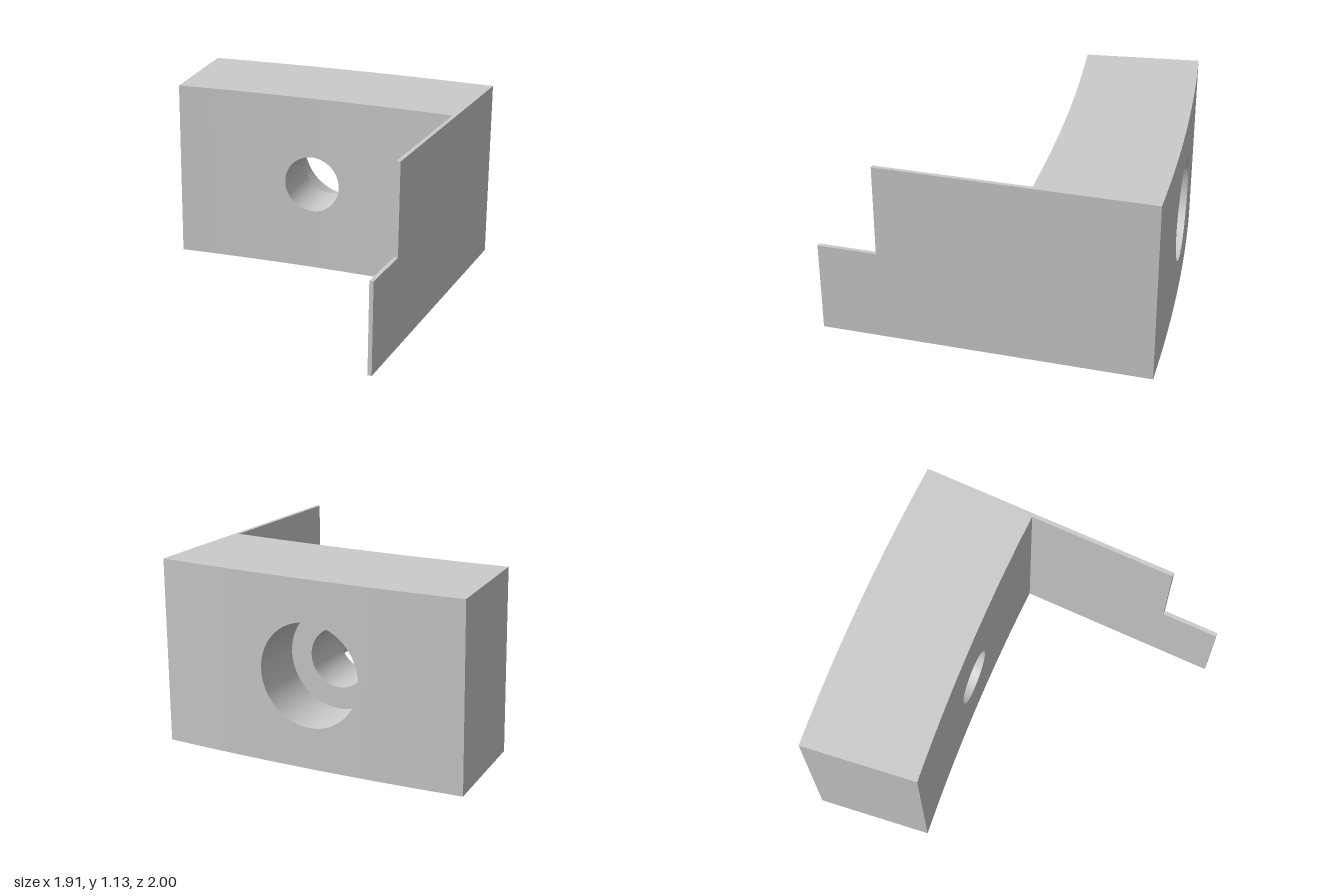
import * as THREE from 'three';

const OUTER = 14.6, INNER = 13.884;  // arc radii of the back and front faces
const HEIGHT = 1.13, MID = HEIGHT / 2;
const RIGHT = 0.955;                 // x of the flat end, where the arc is square on
const SWEEP = 0.1315;                // angle covered by the block
const AXIS = 0.0668;                 // angle of the hole axis
const BORE = 0.18, COUNTERBORE = 0.313;
const FLOOR = -(INNER + OUTER) / 2;  // depth of the counterbore floor
const STEPS = 48;

const material = new THREE.MeshStandardMaterial({ color: 0xcccccc });

// Depth of an arc face at sideways distance u from the hole axis
const depth = (R, u) => -Math.sqrt(R * R - u * u);

// Collects quads (corners counter-clockwise from outside) into a mesh
function quadMesh(name, build) {
  const points = [];
  build((a, b, c, d) => points.push(...a, ...b, ...c, ...a, ...c, ...d));
  const geometry = new THREE.BufferGeometry();
  geometry.setAttribute('position', new THREE.Float32BufferAttribute(points, 3));
  geometry.computeVertexNormals();
  const mesh = new THREE.Mesh(geometry, material);
  mesh.name = name;
  return mesh;
}

// Curved face in upright strips, leaving a round hole of radius r
function curvedFace(name, R, r, front) {
  const left = -R * Math.sin(SWEEP - AXIS), right = R * Math.sin(AXIS);
  const us = [];
  for (let i = 0; i < 16; i++) us.push(left + (-r - left) * i / 16);
  for (let i = 0; i < STEPS; i++) us.push(-r * Math.cos(Math.PI * i / STEPS));
  for (let i = 0; i <= 16; i++) us.push(r + (right - r) * i / 16);
  const gap = u => Math.sqrt(Math.max(0, r * r - u * u));
  const at = (u, y) => [u, y, depth(R, u)];
  return quadMesh(name, quad => {
    for (let i = 0; i + 1 < us.length; i++) {
      const [a, b] = front ? [us[i], us[i + 1]] : [us[i + 1], us[i]];
      quad(at(a, 0), at(b, 0), at(b, MID - gap(b)), at(a, MID - gap(a)));
      quad(at(a, MID + gap(a)), at(b, MID + gap(b)), at(b, HEIGHT), at(a, HEIGHT));
    }
  });
}

// Inward-facing wall of a round hole between two depths
function holeWall(name, r, nearZ, farZ) {
  const mesh = quadMesh(name, quad => {
    const at = (i, z) => {
      const t = Math.PI * i / STEPS, u = r * Math.cos(t);
      return [u, MID + r * Math.sin(t), z(u)];
    };
    for (let i = 0; i < 2 * STEPS; i++)
      quad(at(i, nearZ), at(i + 1, nearZ), at(i + 1, farZ), at(i, farZ));
  });
  // Smooth normals pointing to the axis
  const p = mesh.geometry.attributes.position, n = mesh.geometry.attributes.normal;
  for (let i = 0; i < p.count; i++) n.setXYZ(i, -p.getX(i) / r, (MID - p.getY(i)) / r, 0);
  return mesh;
}

// Top, bottom and the two flat ends
function blockSides() {
  const at = (R, i, y) => {
    const t = SWEEP * (1 - i / 32) - AXIS;
    return [-R * Math.sin(t), y, -R * Math.cos(t)];
  };
  return quadMesh('blockSides', quad => {
    for (let i = 0; i < 32; i++) {
      quad(at(INNER, i, HEIGHT), at(INNER, i + 1, HEIGHT), at(OUTER, i + 1, HEIGHT), at(OUTER, i, HEIGHT));
      quad(at(OUTER, i, 0), at(OUTER, i + 1, 0), at(INNER, i + 1, 0), at(INNER, i, 0));
    }
    quad(at(OUTER, 0, 0), at(INNER, 0, 0), at(INNER, 0, HEIGHT), at(OUTER, 0, HEIGHT));
    quad(at(INNER, 32, 0), at(OUTER, 32, 0), at(OUTER, 32, HEIGHT), at(INNER, 32, HEIGHT));
  });
}

export function createModel() {
  const model = new THREE.Group();
  model.name = 'curvedBlockWithPlate';

  // Curved block, built in a frame whose z runs along the hole axis
  const block = new THREE.Group();
  block.name = 'curvedBlock';
  block.position.set(RIGHT, 0, OUTER - 1);
  block.rotation.y = AXIS;
  block.add(
    curvedFace('frontFace', INNER, BORE, true),
    curvedFace('backFace', OUTER, COUNTERBORE, false),
    blockSides(),
    holeWall('boreWall', BORE, u => depth(INNER, u), () => FLOOR),
    holeWall('counterboreWall', COUNTERBORE, () => FLOOR, u => depth(OUTER, u)),
  );

  // Counterbore floor, facing the back
  const floor = new THREE.Mesh(new THREE.RingGeometry(BORE, COUNTERBORE, 2 * STEPS), material);
  floor.name = 'counterboreFloor';
  floor.position.set(0, MID, FLOOR);
  floor.rotation.y = Math.PI;
  block.add(floor);
  model.add(block);

  // Thin stepped plate reaching forward from the flat end
  const outline = new THREE.Shape([
    [-0.284, 0], [1, 0], [1, MID], [0.64, MID], [0.64, HEIGHT], [-0.284, HEIGHT],
  ].map(([z, y]) => new THREE.Vector2(z, y)));
  const plateGeometry = new THREE.ExtrudeGeometry(outline, { depth: 0.025, bevelEnabled: false });
  plateGeometry.rotateY(-Math.PI / 2);
  const plate = new THREE.Mesh(plateGeometry, material);
  plate.name = 'steppedPlate';
  plate.position.x = RIGHT;
  model.add(plate);

  return model;
}
